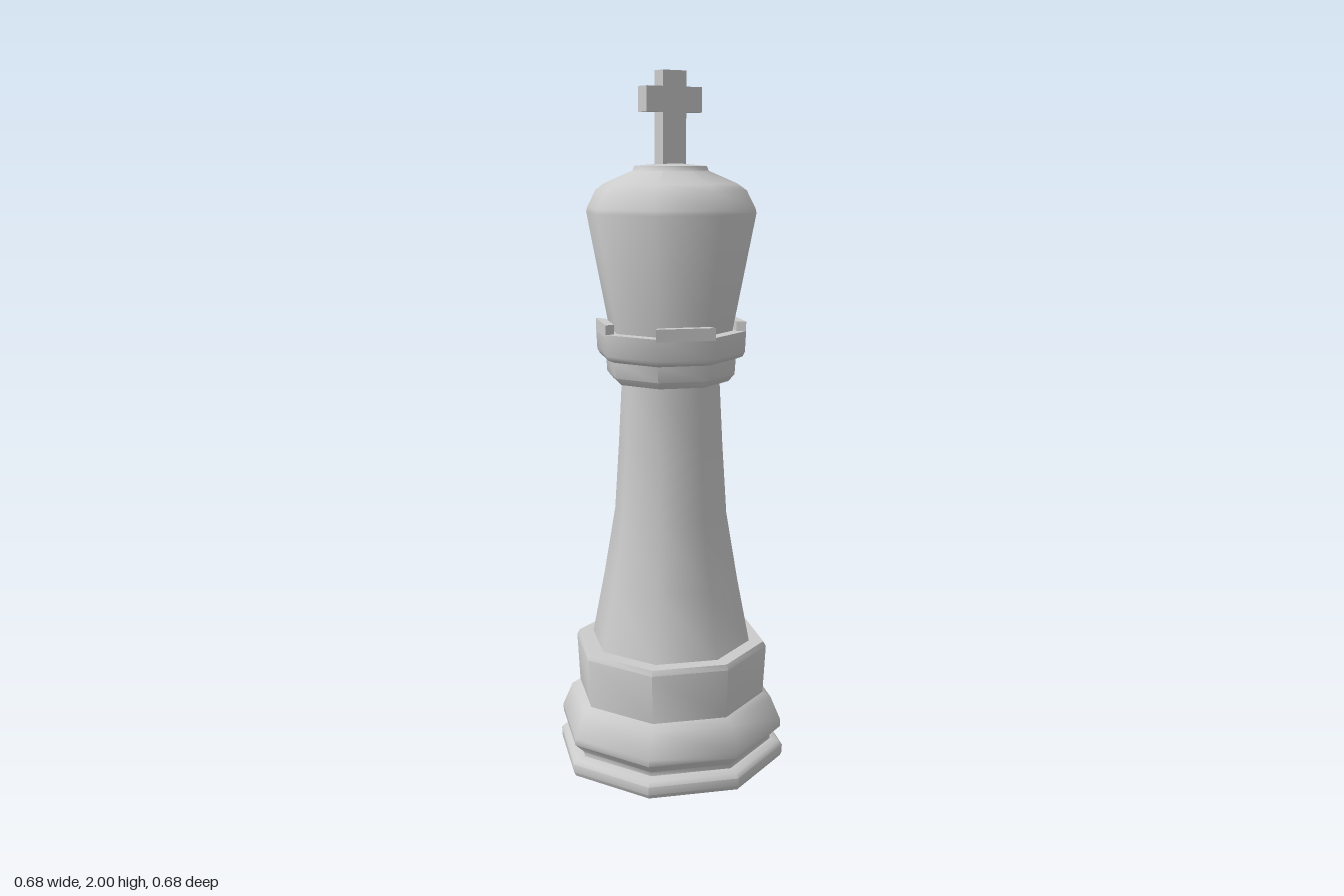
import * as THREE from 'three';
import { toCreasedNormals } from 'three/addons/utils/BufferGeometryUtils.js';

const SIDES = 8;
const CREASE = THREE.MathUtils.degToRad(50);

export function createModel() {
  const group = new THREE.Group();
  const material = new THREE.MeshStandardMaterial({ color: 0xcccccc });

  function add(name, geometry) {
    const mesh = new THREE.Mesh(geometry, material);
    mesh.name = name;
    group.add(mesh);
    return mesh;
  }

  // Eight-sided turned part from [radius, height] pairs, bottom to top
  function turned(name, profile) {
    const points = profile.map(([r, y]) => new THREE.Vector2(r, y));
    return add(name, toCreasedNormals(new THREE.LatheGeometry(points, SIDES), CREASE));
  }

  // Stepped foot with a groove, a flared moulding and a drum
  turned('base', [
    [0, 0], [0.335, 0], [0.341, 0.012], [0.341, 0.036], [0.33, 0.048], [0.303, 0.052],
    [0.303, 0.064], [0.335, 0.095], [0.335, 0.115], [0.305, 0.185], [0.28, 0.2],
    [0.288, 0.345], [0.28, 0.36], [0, 0.36],
  ]);

  // Tapering body
  turned('shaft', [
    [0.238, 0.355], [0.2, 0.55], [0.166, 0.75], [0.153, 0.95], [0.143, 1.14],
  ]);

  // Two-step collar under the head
  turned('collar', [
    [0, 1.14], [0.168, 1.14], [0.186, 1.16], [0.189, 1.205], [0.208, 1.212],
    [0.215, 1.225], [0.218, 1.285], [0, 1.285],
  ]);

  // Raised wall on every other side of the collar
  const outer = 0.218, inner = 0.19;
  for (let k = 1; k < SIDES; k += 2) {
    const corner = (r, i) =>
      new THREE.Vector2(r * Math.sin((i * Math.PI) / 4), -r * Math.cos((i * Math.PI) / 4));
    const shape = new THREE.Shape([
      corner(outer, k), corner(outer, k + 1), corner(inner, k + 1), corner(inner, k),
    ]);
    const wall = new THREE.ExtrudeGeometry(shape, { depth: 0.035, bevelEnabled: false });
    wall.rotateX(-Math.PI / 2).translate(0, 1.277, 0);
    add('battlement', wall);
  }

  // Flared head with a shallow domed top and small cap
  turned('head', [
    [0.176, 1.27], [0.243, 1.615], [0.24, 1.628], [0.215, 1.677], [0.19, 1.695],
    [0.108, 1.73], [0.103, 1.743], [0, 1.752],
  ]);

  // Cross finial
  const half = [
    [0.039, 1.735], [0.039, 1.888], [0.093, 1.888], [0.093, 1.957], [0.039, 1.957], [0.039, 2],
  ];
  const outline = [...half, ...half.map(([x, y]) => [-x, y]).reverse()];
  const crossShape = new THREE.Shape(outline.map(([x, y]) => new THREE.Vector2(x, y)));
  const cross = new THREE.ExtrudeGeometry(crossShape, { depth: 0.042, bevelEnabled: false });
  add('cross', cross.translate(0, 0, -0.021));

  return group;
}
